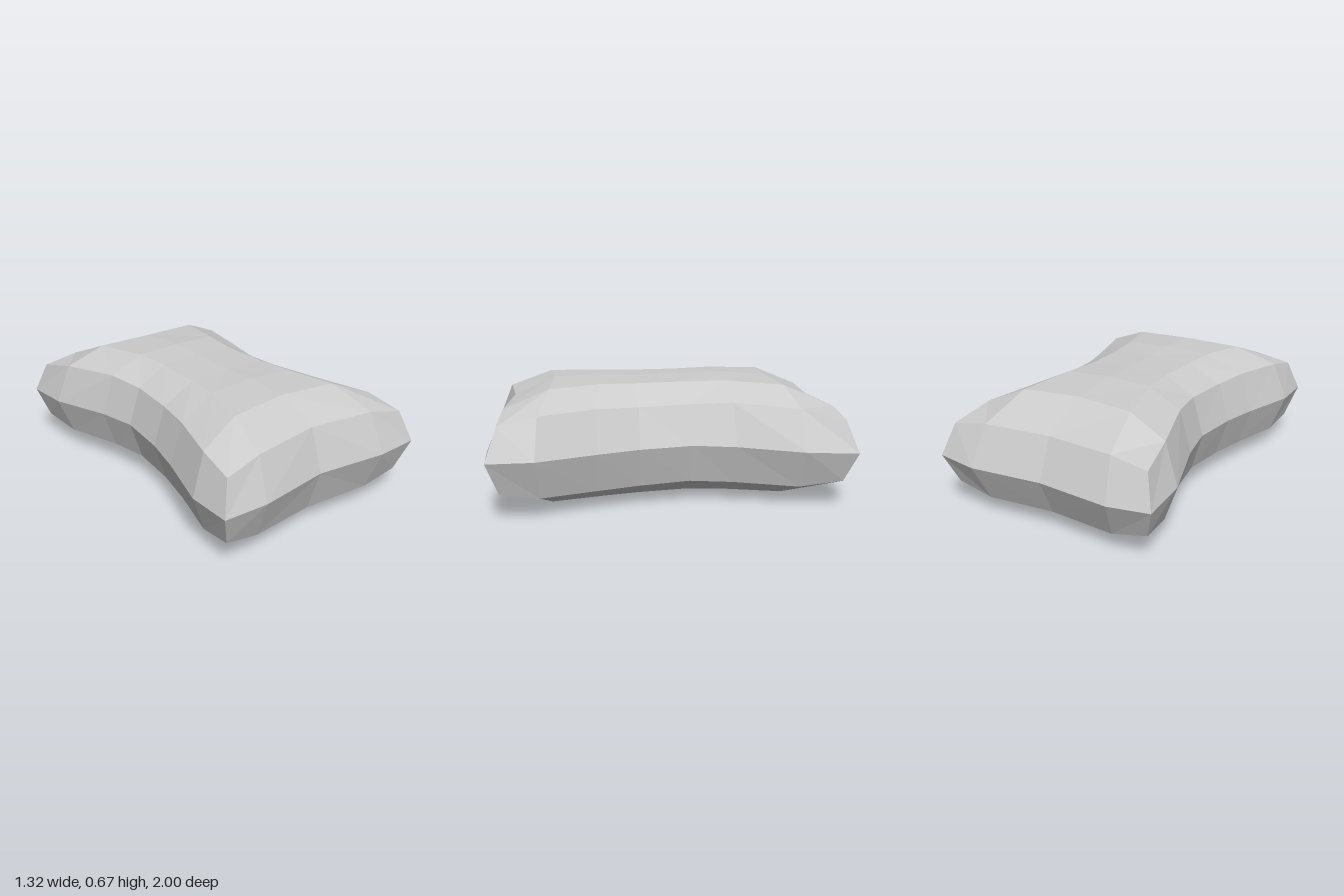
import * as THREE from 'three';

// Rows run back to front. Each row of the padded faces:
// centre z, inner x, inner z, outer x, outer z, then the heights at
// centre / inner / outer for the top face and for the underside.
const ROWS = [
  [-0.865, 0.38, -0.90, 0.585, -0.905, 0.525, 0.525, 0.49, 0.10, 0.10, 0.15],
  [-0.60, 0.33, -0.63, 0.55, -0.67, 0.65, 0.64, 0.545, 0.01, 0.02, 0.115],
  [-0.305, 0.26, -0.31, 0.45, -0.32, 0.672, 0.66, 0.57, 0.017, 0.027, 0.125],
  [-0.09, 0.24, -0.09, 0.415, -0.09, 0.664, 0.655, 0.56, 0.02, 0.03, 0.13],
  [0.19, 0.25, 0.19, 0.44, 0.19, 0.661, 0.652, 0.555, 0.012, 0.022, 0.12],
  [0.38, 0.27, 0.39, 0.49, 0.42, 0.667, 0.655, 0.56, 0.004, 0.015, 0.115],
  [0.635, 0.34, 0.66, 0.58, 0.72, 0.66, 0.645, 0.55, 0.005, 0.017, 0.115],
  [0.86, 0.39, 0.905, 0.60, 0.925, 0.56, 0.55, 0.505, 0.09, 0.10, 0.15],
];

// Waist seam: outer x, z and height for each row.
const SEAM = [
  [0.64, -0.97, 0.315], [0.63, -0.69, 0.325], [0.52, -0.33, 0.34], [0.48, -0.10, 0.345],
  [0.51, 0.19, 0.34], [0.56, 0.41, 0.335], [0.66, 0.74, 0.33], [0.66, 0.985, 0.33],
];
// Seam along the back and front ends: centre z, inner x, inner z, height.
const SEAM_ENDS = { 0: [-0.96, 0.41, -1.0, 0.306], 7: [0.94, 0.41, 0.995, 0.328] };

const COLUMNS = [-2, -1, 0, 1, 2];

// Point on the top face (h = 5) or the underside (h = 8).
function facePoint(row, col, h) {
  const d = ROWS[row], k = Math.abs(col), s = Math.sign(col);
  const x = [0, d[1], d[3]][k], z = [d[0], d[2], d[4]][k];
  return [s * x, d[h + k], z];
}

function seamPoint(row, col) {
  const s = Math.sign(col);
  if (Math.abs(col) === 2) return [s * SEAM[row][0], SEAM[row][2], SEAM[row][1]];
  const e = SEAM_ENDS[row];
  return col === 0 ? [0, e[3], e[0]] : [s * e[1], e[3], e[2]];
}

export function createModel() {
  const positions = [];
  // Mirrored diagonals keep the two halves identical.
  const quad = (a, b, c, d) => {
    const left = a[0] + b[0] + c[0] + d[0] < 0;
    const corners = left ? [a, b, d, b, c, d] : [a, b, c, a, c, d];
    for (const p of corners) positions.push(...p);
  };

  // Top face and underside
  for (let r = 0; r < ROWS.length - 1; r++) {
    for (const c of COLUMNS.slice(0, -1)) {
      const cells = [[r, c], [r + 1, c], [r + 1, c + 1], [r, c + 1]];
      quad(...cells.map(([i, j]) => facePoint(i, j, 5)));
      quad(...cells.reverse().map(([i, j]) => facePoint(i, j, 8)));
    }
  }

  // Rim: walk the perimeter and join both faces to the seam
  const last = ROWS.length - 1;
  const rim = [];
  for (let r = 0; r < last; r++) rim.push([r, 2]);
  for (let c = 2; c > -2; c--) rim.push([last, c]);
  for (let r = last; r > 0; r--) rim.push([r, -2]);
  for (let c = -2; c < 2; c++) rim.push([0, c]);
  rim.forEach((a, i) => {
    const b = rim[(i + 1) % rim.length];
    const seamA = seamPoint(...a), seamB = seamPoint(...b);
    quad(seamA, facePoint(...a, 5), facePoint(...b, 5), seamB);
    quad(facePoint(...a, 8), seamA, seamB, facePoint(...b, 8));
  });

  const geometry = new THREE.BufferGeometry();
  geometry.setAttribute('position', new THREE.Float32BufferAttribute(positions, 3));
  geometry.computeVertexNormals();

  const cushion = new THREE.Mesh(
    geometry,
    new THREE.MeshStandardMaterial({ color: 0xcccccc, flatShading: true })
  );
  cushion.name = 'cushion';
  const group = new THREE.Group();
  group.name = 'pillow';
  group.add(cushion);
  return group;
}
